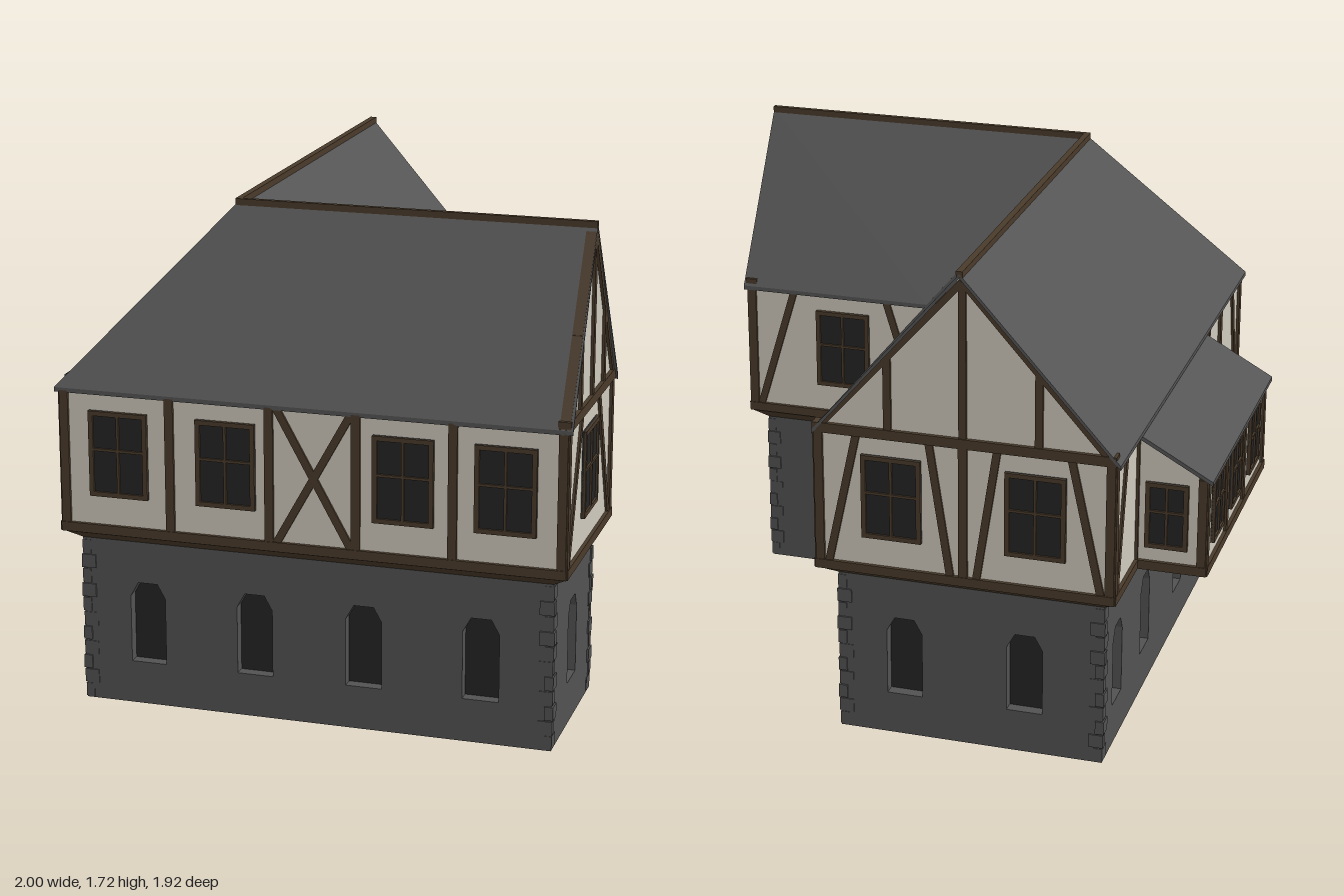
import * as THREE from 'three';

const mat = (name, color, side = THREE.FrontSide) => {
  const m = new THREE.MeshStandardMaterial({ color, side });
  m.name = name;
  return m;
};

export function createModel() {
  const stone = mat('grey stone', 0x525252);
  const slate = mat('grey slate', 0x555555, THREE.DoubleSide);
  const plaster = mat('cream plaster', 0xcfcabd, THREE.DoubleSide);
  const wood = mat('dark timber', 0x4a3b2b, THREE.DoubleSide);
  const glass = mat('dark glass', 0x252525, THREE.DoubleSide);

  const house = new THREE.Group();
  house.name = 'house';
  const add = (parent, name, geo, material, x = 0, y = 0, z = 0) => {
    const m = new THREE.Mesh(geo, material);
    m.name = name;
    m.position.set(x, y, z);
    parent.add(m);
    return m;
  };
  const polygon = (pts, Type = THREE.Shape) => new Type(pts.map(p => new THREE.Vector2(p[0], p[1])));

  // A side is a group turned so local x runs along it and local z points outward
  const FRONT = 0, RIGHT = Math.PI / 2, BACK = Math.PI, LEFT = -Math.PI / 2;
  const side = (name, angle) => {
    const g = new THREE.Group();
    g.name = name;
    g.rotation.y = angle;
    house.add(g);
    return g;
  };
  const slab = (g, name, shape, depth, dist, material) =>
    add(g, name, new THREE.ExtrudeGeometry(shape, { depth, bevelEnabled: false }), material, 0, 0, dist - depth);

  // ---- Stone ground floor ----
  const arch = (u, half, y0, y1) => [[u - half, y0], [u + half, y0], [u + half, y1 - 0.05],
    [u + half * 0.55, y1], [u - half * 0.55, y1], [u - half, y1 - 0.05]];
  const stoneWall = (name, angle, dist, u0, u1, windows, { panes = true, door = null } = {}) => {
    const g = side(name, angle);
    let pts = [[u0, 0]];
    if (door !== null) {
      const d = arch(door, 0.13, 0, 0.45);
      pts.push(d[0], d[5], d[4], d[3], d[2], d[1]);
    }
    pts.push([u1, 0], [u1, 0.6], [u0, 0.6]);
    const shape = polygon(pts);
    for (const u of windows) {
      shape.holes.push(polygon(arch(u, 0.062, 0.15, 0.435), THREE.Path));
      if (panes) add(g, 'archedPane', new THREE.PlaneGeometry(0.14, 0.3), glass, u, 0.29, dist - 0.04);
    }
    slab(g, 'masonry', shape, 0.06, dist, stone);
  };
  stoneWall('frontStoneWall', FRONT, 0.89, -0.7, 0.93, [-0.47, -0.09, 0.29, 0.69]);
  stoneWall('endStoneWall', RIGHT, 0.93, -0.89, -0.31, [-0.6]);
  stoneWall('wingBackStoneWall', BACK, -0.31, -0.93, -0.16, [], { door: -0.61 });
  stoneWall('courtStoneWall', RIGHT, 0.22, -0.37, 0.89, [-0.07, 0.3, 0.69], { panes: false });
  stoneWall('backStoneWall', BACK, 0.89, -0.22, 0.7, [0.01, 0.43]);
  stoneWall('leftStoneWall', LEFT, 0.7, -0.89, 0.89, [-0.7, -0.31, 0.19, 0.58]);

  // Corner stones alternating in length
  for (const [x, z, sx, sz] of [[-0.7, 0.89, 1, -1], [0.93, 0.89, -1, -1], [0.93, 0.31, -1, 1],
    [0.22, -0.89, -1, 1], [-0.7, -0.89, 1, 1]]) {
    for (let i = 0; i < 11; i++) {
      const a = i % 2 ? 0.05 : 0.03, b = i % 2 ? 0.03 : 0.05, out = 0.002 + (i * 7 % 5) * 0.001;
      add(house, 'cornerStone', new THREE.BoxGeometry(a, 0.047, b), stone,
        x + sx * (a / 2 - out), 0.028 + i * 0.052, z + sz * (b / 2 - out));
    }
  }

  // Sloped jetty between the two floors
  const lower = [[-0.7, 0.89], [0.93, 0.89], [0.93, 0.31], [0.22, 0.31], [0.22, -0.89], [-0.7, -0.89]];
  const upper = [[-0.745, 0.955], [0.985, 0.955], [0.985, 0.265], [0.28, 0.265], [0.28, -0.955], [-0.745, -0.955]];
  const quads = (list) => {
    const pos = [];
    for (const [a, b, c, d] of list) pos.push(...a, ...b, ...c, ...a, ...c, ...d);
    const geo = new THREE.BufferGeometry();
    geo.setAttribute('position', new THREE.Float32BufferAttribute(pos, 3));
    geo.computeVertexNormals();
    return geo;
  };
  add(house, 'jetty', quads(lower.map((p, i) => {
    const j = (i + 1) % 6, q = lower[j], r = upper[j], s = upper[i];
    return [[p[0], 0.58, p[1]], [q[0], 0.58, q[1]], [r[0], 0.622, r[1]], [s[0], 0.622, s[1]]];
  })), wood);

  // ---- Timber-framed upper floor ----
  const Y0 = 0.65, Y1 = 1.11;
  const beam = (g, dist, u0, y0, u1, y1, w = 0.03, depth = 0.035) => {
    const m = add(g, 'beam', new THREE.BoxGeometry(Math.hypot(u1 - u0, y1 - y0), w, depth), wood,
      (u0 + u1) / 2, (y0 + y1) / 2, dist - 0.0075);
    m.rotation.z = Math.atan2(y1 - y0, u1 - u0);
  };
  const casement = (g, dist, u, y, w, h) => {
    add(g, 'windowPane', new THREE.BoxGeometry(w, h, 0.008), glass, u, y, dist + 0.003);
    const bar = (x, yy, bw, bh) => add(g, 'windowBar', new THREE.BoxGeometry(bw, bh, 0.02), wood, x, yy, dist + 0.004);
    for (const s of [-1, 1]) {
      bar(u + s * (w / 2 - 0.008), y, 0.016, h);
      bar(u, y + s * (h / 2 - 0.008), w, 0.016);
    }
    bar(u, y, 0.009, h);
    bar(u, y + 0.015, w, 0.009);
  };
  const timberWall = (name, angle, dist, u0, u1, { posts = [], braces = [], windows = [], gable = null, top = Y1 }) => {
    const g = side(name, angle);
    const pts = [[u0, 0.62], [u1, 0.62], [u1, top], [u0, top]];
    const mid = (u0 + u1) / 2, half = (u1 - u0) / 2;
    if (gable) pts.splice(3, 0, [mid, 1.68]);
    slab(g, 'plaster', polygon(pts), 0.02, dist, plaster);
    beam(g, dist, u0 - 0.008, 0.636, u1 + 0.008, 0.636, 0.032, 0.04);
    for (const u of [u0 + 0.01, u1 - 0.01, ...posts]) beam(g, dist, u, Y0, u, top, 0.03);
    for (const [a, b] of braces) beam(g, dist, a, Y0, b, Y1, 0.026, 0.031);
    for (const u of windows) casement(g, dist, u, 0.9, 0.205, 0.295);
    if (gable) {
      beam(g, dist, u0 - 0.008, 1.128, u1 + 0.008, 1.128, 0.034, 0.042);
      for (const u of gable) beam(g, dist, u, 1.13, u, 1.12 + 0.56 * (1 - Math.abs(u - mid) / half), 0.026);
      for (const s of [-1, 1]) beam(g, dist, mid + s * half, 1.115, mid, 1.68, 0.022);
    }
    return g;
  };
  timberWall('frontTimberWall', FRONT, 0.945, -0.74, 0.975, {
    posts: [-0.36, -0.015, 0.28, 0.605], braces: [[0.01, 0.265], [0.265, 0.01]],
    windows: [-0.54, -0.165, 0.44, 0.78] });
  timberWall('endTimberWall', RIGHT, 0.975, -0.945, -0.275, {
    braces: [[-0.92, -0.75], [-0.31, -0.49]], windows: [-0.617], gable: [-0.785, -0.61, -0.435] });
  timberWall('courtTimberWall', RIGHT, 0.27, -0.275, 0.945, {
    posts: [0.165, 0.535],
    braces: [[-0.17, -0.255], [0.07, 0.145], [0.23, 0.185], [0.445, 0.515], [0.605, 0.555], [0.835, 0.915]],
    windows: [-0.053, 0.337, 0.722] });
  timberWall('wingBackTimberWall', BACK, -0.275, -0.975, -0.27, {
    braces: [[-0.94, -0.8], [-0.3, -0.44]], windows: [-0.61] });
  timberWall('backTimberWall', BACK, 0.945, -0.27, 0.74, {
    posts: [0.235], braces: [[-0.23, -0.13], [0.19, 0.12], [0.28, 0.35], [0.7, 0.6]],
    windows: [-0.01, 0.48], gable: [-0.02, 0.235, 0.49] });
  timberWall('leftTimberWall', LEFT, 0.74, -0.945, 0.945, {
    posts: [-0.64, 0.28, 0.6], braces: [[-0.91, -0.8], [0.91, 0.8], [0.32, 0.42]] });

  // ---- Lean-to bay on the left ----
  const bay = timberWall('baySideWall', LEFT, 0.975, -0.645, 0.285, { posts: [-0.335, -0.06], top: 0.97 });
  for (const u of [-0.48, -0.2, 0.1]) casement(bay, 0.975, u, 0.82, 0.16, 0.235);
  for (const [name, angle, dist, s] of [['bayFrontWall', FRONT, 0.285, 1], ['bayBackWall', BACK, 0.645, -1]]) {
    const g = side(name, angle);
    const pts = [[-0.975, 0.62], [-0.74, 0.62], [-0.74, 1.095], [-0.975, 0.968]].map(([x, y]) => [x * s, y]);
    slab(g, 'plaster', polygon(pts), 0.02, dist, plaster);
    beam(g, dist, -0.983 * s, 0.636, -0.74 * s, 0.636, 0.032, 0.04);
    beam(g, dist, -0.965 * s, Y0, -0.965 * s, 0.965, 0.03);
    casement(g, dist, -0.845 * s, 0.82, 0.145, 0.235);
  }
  add(house, 'bayFloor', new THREE.BoxGeometry(0.24, 0.015, 0.93), wood, -0.86, 0.628, -0.18);

  // ---- Roofs: sheets with a little thickness, corners anticlockwise from above ----
  const roof = (name, pts) => {
    const low = pts.map(([x, y, z]) => [x, y - 0.015, z]);
    const list = [pts, [...low].reverse()];
    pts.forEach((p, i) => {
      const j = (i + 1) % 4;
      list.push([low[i], low[j], pts[j], p]);
    });
    add(house, name, quads(list), slate);
  };
  const E = 1.118, R = 1.708, hub = [-0.228, R, 0.603], valley = [0.28, E, 0.262], hip = [-0.762, E, 0.955];
  roof('frontRoofSlope', [hip, [0.995, E, 0.955], [0.985, R, 0.603], hub]);
  roof('wingBackRoofSlope', [valley, hub, [0.985, R, 0.603], [0.995, E, 0.262]]);
  roof('leftRoofSlope', [[-0.762, E, -0.96], hip, hub, [-0.228, R, -0.96]]);
  roof('courtRoofSlope', [valley, [0.28, E, -0.96], [-0.228, R, -0.96], hub]);
  roof('bayRoof', [[-1, 0.968, -0.665], [-1, 0.968, 0.305], [-0.735, 1.115, 0.305], [-0.735, 1.115, -0.665]]);

  // Ridge timbers
  add(house, 'mainRidge', new THREE.BoxGeometry(0.022, 0.022, 1.57), wood, -0.228, 1.706, -0.175);
  add(house, 'wingRidge', new THREE.BoxGeometry(1.22, 0.022, 0.018), wood, 0.375, 1.706, 0.603);

  return house;
}
